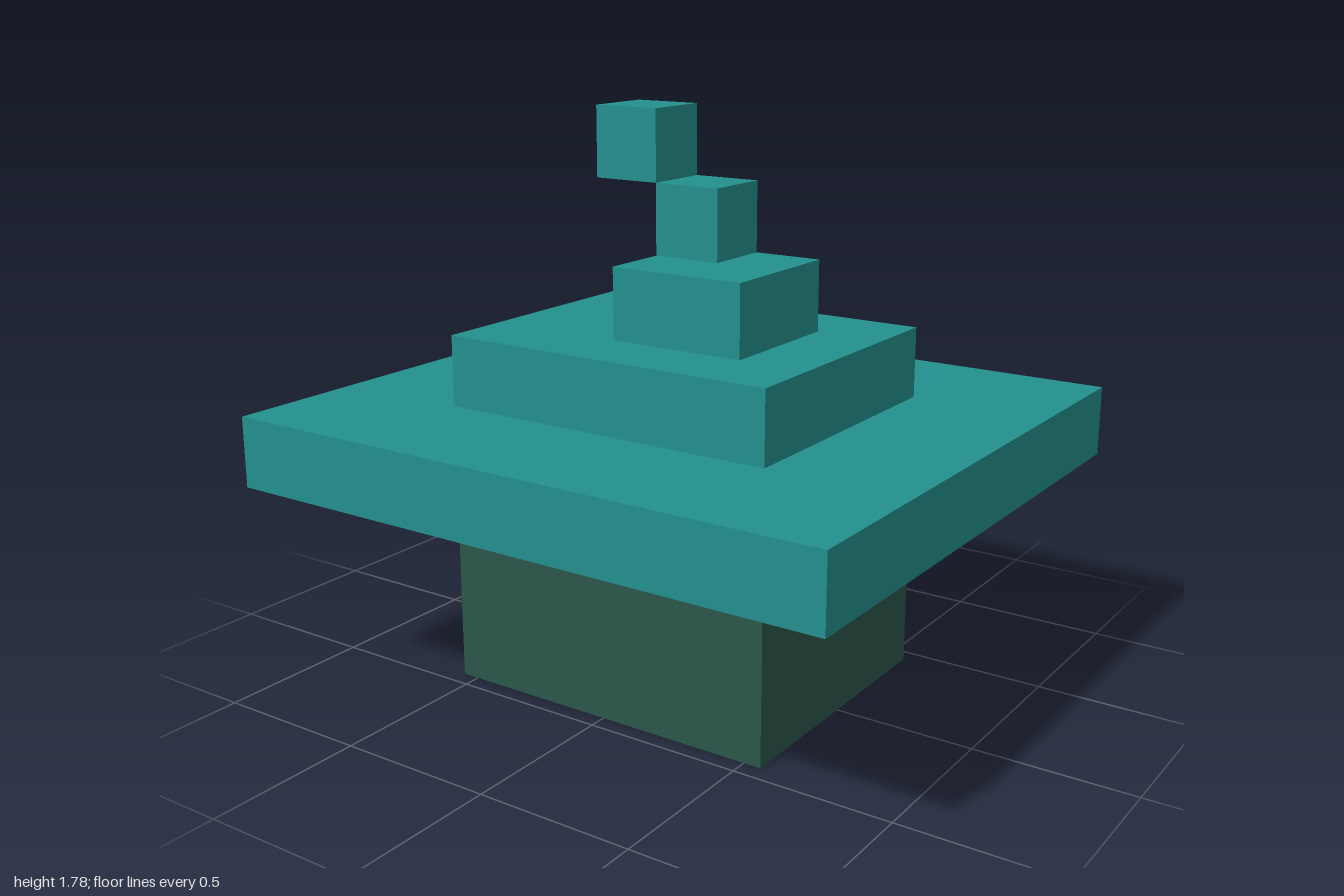
import * as THREE from 'three';

// Everything sits on a voxel grid: 9 voxels span the full width of 2 units.
const U = 2 / 9;

export function createModel() {
  const model = new THREE.Group();
  model.name = 'voxelHat';

  const teal = new THREE.MeshStandardMaterial({ color: 0x23908e });
  const darkGreen = new THREE.MeshStandardMaterial({ color: 0x2b564a });

  // Adds a block from its voxel size and the voxel position of its bottom centre.
  function block(name, material, [w, h, d], [x, y, z]) {
    const mesh = new THREE.Mesh(new THREE.BoxGeometry(w * U, h * U, d * U), material);
    mesh.name = name;
    mesh.position.set(x * U, (y + h / 2) * U, z * U);
    model.add(mesh);
  }

  // Head block under the hat
  block('head', darkGreen, [5, 3, 4], [0, 0, 0]);

  // Wide brim and stepped crown
  block('brim', teal, [9, 1, 8], [0, 3, 0]);
  block('lowerCrown', teal, [5, 1, 4], [0, 4, 0]);
  block('upperCrown', teal, [2, 1, 2], [0.5, 5, 0]);

  // Bent tip, stepping off to one side
  block('tipBase', teal, [1, 1, 1], [0, 6, -0.5]);
  block('tipEnd', teal, [1, 1, 1], [-1, 7, -0.5]);

  return model;
}
